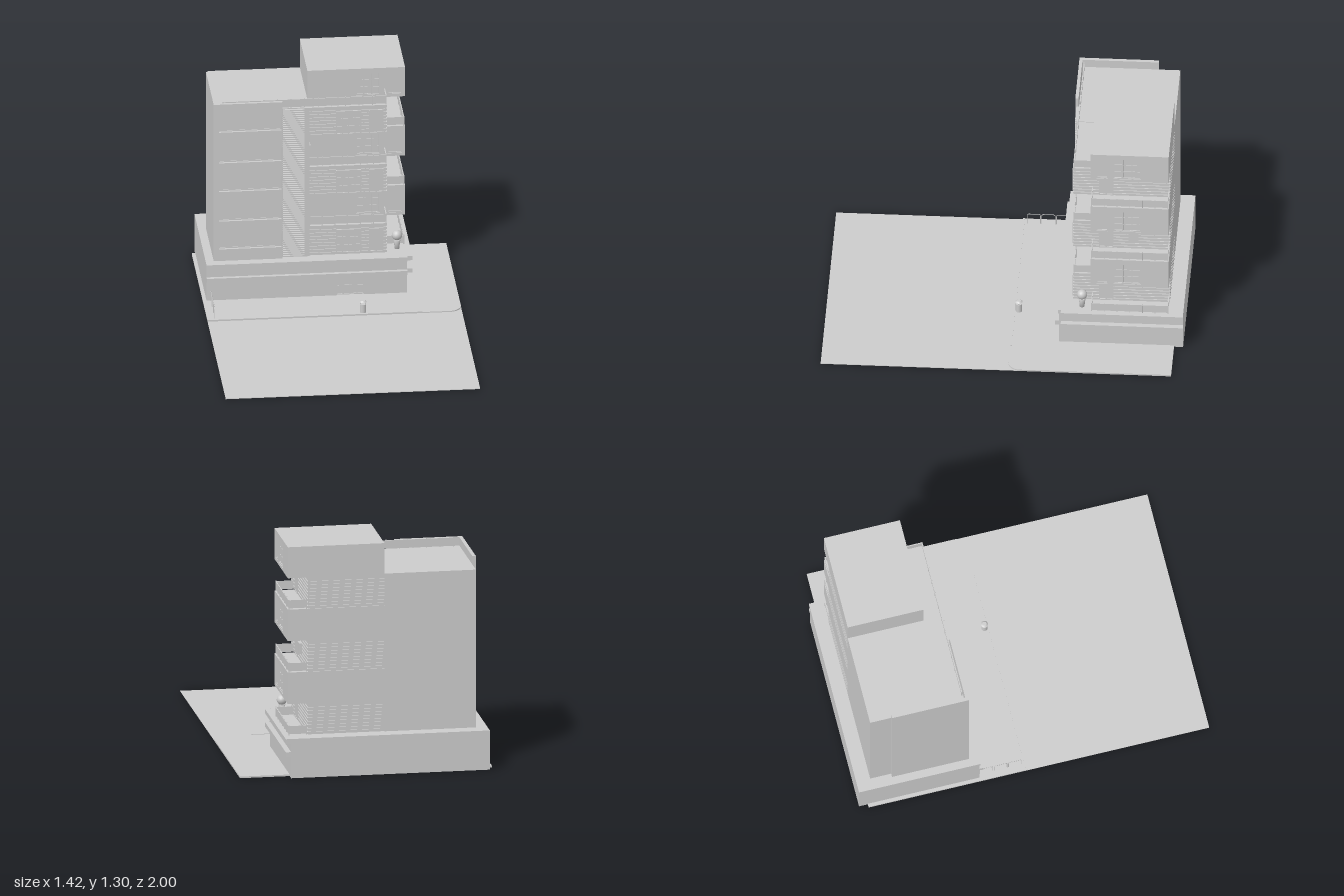
import * as THREE from 'three';

const grey = new THREE.MeshStandardMaterial({ color: 0xcccccc, side: THREE.DoubleSide });

function add(parent, name, geometry, x = 0, y = 0, z = 0) {
  const m = new THREE.Mesh(geometry, grey);
  m.name = name;
  m.position.set(x, y, z);
  parent.add(m);
  return m;
}

// Box given by its limits on each axis
function box(parent, name, x0, x1, y0, y1, z0, z1) {
  return add(parent, name, new THREE.BoxGeometry(x1 - x0, y1 - y0, z1 - z0),
    (x0 + x1) / 2, (y0 + y1) / 2, (z0 + z1) / 2);
}

function group(parent, name, x = 0, y = 0, z = 0, ry = 0) {
  const g = new THREE.Group();
  g.name = name;
  g.position.set(x, y, z);
  g.rotation.y = ry;
  parent.add(g);
  return g;
}

// Framed window in the local xy plane, from z = 0 (glass) to z = d
function glazing(parent, x0, x1, y0, y1, d, cols, rows) {
  const g = group(parent, 'window'), t = 0.006;
  box(g, 'glass', x0, x1, y0, y1, -0.001, 0.001);
  box(g, 'frameLeft', x0, x0 + t, y0, y1, 0, d);
  box(g, 'frameRight', x1 - t, x1, y0, y1, 0, d);
  box(g, 'frameBottom', x0 + t, x1 - t, y0, y0 + t, 0, d);
  box(g, 'frameTop', x0 + t, x1 - t, y1 - t, y1, 0, d);
  for (let i = 1; i < cols; i++) {
    const x = x0 + (x1 - x0) * i / cols;
    box(g, 'mullion', x - 0.003, x + 0.003, y0, y1, 0, d * 0.8);
  }
  for (let i = 1; i < rows; i++) {
    const y = y0 + (y1 - y0) * i / rows;
    box(g, 'glazingBar', x0, x1, y - 0.002, y + 0.002, 0, d * 0.6);
  }
}

// Wall sheet with openings [x0, x1, y0, y1], spanning local z from 0 to d
function wallPanel(parent, name, w, h, d, holes) {
  const s = new THREE.Shape([[0, 0], [w, 0], [w, h], [0, h]].map(p => new THREE.Vector2(...p)));
  for (const [a, b, c, e] of holes)
    s.holes.push(new THREE.Path([[a, c], [a, e], [b, e], [b, c]].map(p => new THREE.Vector2(...p))));
  return add(parent, name, new THREE.ExtrudeGeometry(s, { depth: d, bevelEnabled: false }));
}

// Horizontal boards in the local xy plane, interrupted by openings
function siding(parent, w, h, holes) {
  const n = 9, pitch = h / n;
  for (let i = 0; i < n; i++) {
    const y = i * pitch + 0.004, top = y + pitch * 0.6;
    let x = 0;
    for (const [a, b, c, e] of holes.filter(o => top > o[2] && y < o[3])) {
      box(parent, 'board', x, a, y, top, 0, 0.006);
      x = b;
    }
    box(parent, 'board', x, w, y, top, 0, 0.006);
  }
}

// Glass railing with posts and a top rail, running along local x
function railing(parent, x, y, z, length, ry = 0) {
  const g = group(parent, 'railing', x, y, z, ry), n = Math.max(1, Math.round(length / 0.075));
  box(g, 'glassPanel', 0, length, 0.006, 0.048, -0.001, 0.001);
  box(g, 'topRail', 0, length, 0.048, 0.053, -0.003, 0.003);
  for (let i = 0; i <= n; i++) {
    const p = length * i / n;
    box(g, 'railPost', p - 0.002, p + 0.002, 0, 0.056, -0.003, 0.003);
  }
}

// Outdoor cooling unit
function coolingUnit(parent, x0, x1, y0, y1, z0, z1) {
  box(parent, 'coolingUnit', x0, x1, y0, y1, z0, z1);
}

export function createModel() {
  const model = new THREE.Group();
  const Q = Math.PI / 2;

  // Road and raised pavement with one rounded corner
  box(model, 'road', -0.71, 0.71, 0, 0.003, -0.95, 1);
  const s = new THREE.Shape();
  s.moveTo(-0.71, 0.04);
  s.lineTo(0.64, 0.04);
  s.absarc(0.64, 0.11, 0.07, -Q, 0, false);
  s.lineTo(0.71, 0.95);
  s.lineTo(-0.71, 0.95);
  const pavement = add(model, 'pavement',
    new THREE.ExtrudeGeometry(s, { depth: 0.007, bevelEnabled: false, curveSegments: 12 }), 0, 0.002, 0);
  pavement.rotation.x = -Q;
  box(model, 'kerb', -0.71, 0.49, 0, 0.012, -0.05, -0.04);

  // Ground floor with an entrance and projecting ledges
  const base = group(model, 'base');
  box(base, 'baseCore', -0.69, 0.43, 0, 0.222, -1, -0.325);
  const front = group(base, 'baseFront', -0.69, 0, -0.325);
  const door = [0.725, 0.88, 0.008, 0.118];
  wallPanel(front, 'baseFrontWall', 1.12, 0.222, 0.015, [door]);
  glazing(front, ...door, 0.008, 4, 2);
  box(base, 'lowerLedge', -0.69, 0.46, 0.125, 0.15, -1, -0.32);
  box(base, 'lowerLedgeFront', -0.69, 0.43, 0.125, 0.15, -0.32, -0.288);
  box(base, 'upperLedge', -0.69, 0.46, 0.2, 0.225, -1, -0.32);
  box(base, 'upperLedgeFront', -0.69, 0.43, 0.2, 0.225, -0.32, -0.305);

  // Left part of the tower, with side fin and windowed front wall
  const tower = group(model, 'tower');
  box(tower, 'towerBody', -0.625, -0.11, 0.225, 1.13, -0.92, -0.38);
  box(tower, 'sideFin', -0.645, -0.625, 0.225, 1.178, -0.8, -0.376);
  const facade = group(tower, 'facade', -0.645, 0.225, -0.376);
  const slots = [0.295, 0.465, 0.645, 0.82, 1.007].map(y => [0.03, 0.378, y - 0.225, y - 0.142]);
  wallPanel(facade, 'facadeWall', 0.385, 0.953, 0.018, slots);
  for (const o of slots) glazing(facade, ...o, 0.004, 1, 1);

  // Louvre screen over the stair
  const louvres = group(tower, 'louvreScreen');
  for (let i = 0; i < 72; i++) {
    const y = 0.23 + i * 0.0125;
    box(louvres, 'louvre', -0.258, -0.138, y, y + 0.007, -0.381, -0.364);
  }
  box(tower, 'stairPier', -0.138, -0.11, 0.225, 1.13, -0.381, -0.374);

  // Interlocking floors: boarded ones forward, plain ones shifted to the right
  for (let i = 0; i < 3; i++) {
    const y = 0.225 + i * 0.361, h = 0.18;

    const low = group(model, 'boardedFloor');
    box(low, 'boardedCore', -0.11, 0.319, y, y + h, -0.914, -0.386);
    box(low, 'floorSlab', -0.11, 0.325, y + h - 0.012, y + h, -0.92, -0.38);
    const openings = [[0.15, 0.29, 0.01, 0.152], [0.333, 0.415, 0.01, 0.152]];
    const f = group(low, 'boardedFront', -0.11, y, -0.386);
    siding(f, 0.435, h, openings);
    glazing(f, ...openings[0], 0.009, 4, 3);
    glazing(f, ...openings[1], 0.009, 2, 1);
    const side = group(low, 'boardedSide', 0.319, y, -0.386, Q);
    const sideHoles = [[0.14, 0.22, 0.005, 0.152]];
    siding(side, 0.528, h, sideHoles);
    glazing(side, ...sideHoles[0], 0.009, 2, 1);
    siding(group(low, 'boardedBack', 0.325, y, -0.914, Math.PI), 0.435, h, []);
    railing(low, 0.428, y, -0.49, 0.425, Q);
    railing(low, 0.33, y, -0.49, 0.098);
    railing(low, 0.33, y, -0.915, 0.098);

    const b = y + h, top = i === 2 ? 1.305 : b + 0.181;
    const high = group(model, 'shiftedFloor');
    box(high, 'shiftedCore', -0.11, 0.423, b, top, -0.92, -0.497);
    const hf = group(high, 'shiftedFront', -0.11, b, -0.497);
    const frontHoles = [[0.27, 0.405, 0.016, 0.152], [0.448, 0.528, 0.016, 0.152]];
    wallPanel(hf, 'shiftedFrontWall', 0.545, top - b, 0.012, frontHoles);
    glazing(hf, ...frontHoles[0], 0.008, 3, 3);
    glazing(hf, ...frontHoles[1], 0.008, 1, 1);
    const hs = group(high, 'shiftedSide', 0.423, b, -0.497, Q);
    const rightHoles = [[0.02, 0.085, 0.016, 0.152], [0.115, 0.27, 0.016, 0.152]];
    wallPanel(hs, 'shiftedSideWall', 0.423, top - b, 0.012, rightHoles);
    glazing(hs, ...rightHoles[0], 0.008, 1, 1);
    glazing(hs, ...rightHoles[1], 0.008, 3, 3);

    // Front terrace railing; the roof one runs along the whole front
    const start = i === 2 ? -0.59 : -0.108;
    railing(high, start, b, -0.387, 0.32 - start);
    railing(high, 0.32, b, -0.387, 0.098, Q);
  }
  coolingUnit(model, 0.325, 0.34, 0.643, 0.703, -0.745, -0.69);
  coolingUnit(model, -0.11, -0.1, 0.815, 0.885, -0.46, -0.405);

  // Potted ball tree on the terrace
  const tree = group(model, 'pottedTree', 0.385, 0.225, -0.435);
  const pot = [[0, 0], [0.014, 0], [0.016, 0.03], [0.02, 0.05], [0.013, 0.05], [0, 0.045]];
  add(tree, 'pot', new THREE.LatheGeometry(pot.map(p => new THREE.Vector2(...p)), 12));
  add(tree, 'trunk', new THREE.CylinderGeometry(0.004, 0.004, 0.03, 8), 0, 0.055, 0);
  add(tree, 'foliage', new THREE.IcosahedronGeometry(0.029, 2), 0, 0.08, 0);

  // Litter bin on the pavement
  const bin = group(model, 'litterBin', 0.16, 0.009, -0.07);
  add(bin, 'binBody', new THREE.CylinderGeometry(0.018, 0.018, 0.05, 12), 0, 0.027, 0);
  for (const x of [-0.014, 0.014]) box(bin, 'binStrut', x - 0.002, x + 0.002, 0.05, 0.064, -0.003, 0.003);
  add(bin, 'binLid', new THREE.CylinderGeometry(0.012, 0.021, 0.008, 12), 0, 0.068, 0);

  // Pavement guard hoops
  for (let i = 0; i < 3; i++) {
    const z0 = -0.065 - i * 0.082, z1 = z0 - 0.074;
    const path = new THREE.CurvePath();
    const v = (y, z) => new THREE.Vector3(-0.667, y, z);
    path.add(new THREE.LineCurve3(v(0.008, z0), v(0.062, z0)));
    path.add(new THREE.QuadraticBezierCurve3(v(0.062, z0), v(0.072, z0), v(0.072, z0 - 0.01)));
    path.add(new THREE.LineCurve3(v(0.072, z0 - 0.01), v(0.072, z1 + 0.01)));
    path.add(new THREE.QuadraticBezierCurve3(v(0.072, z1 + 0.01), v(0.072, z1), v(0.062, z1)));
    path.add(new THREE.LineCurve3(v(0.062, z1), v(0.008, z1)));
    add(model, 'guardHoop', new THREE.TubeGeometry(path, 40, 0.002, 6));
  }
  return model;
}
